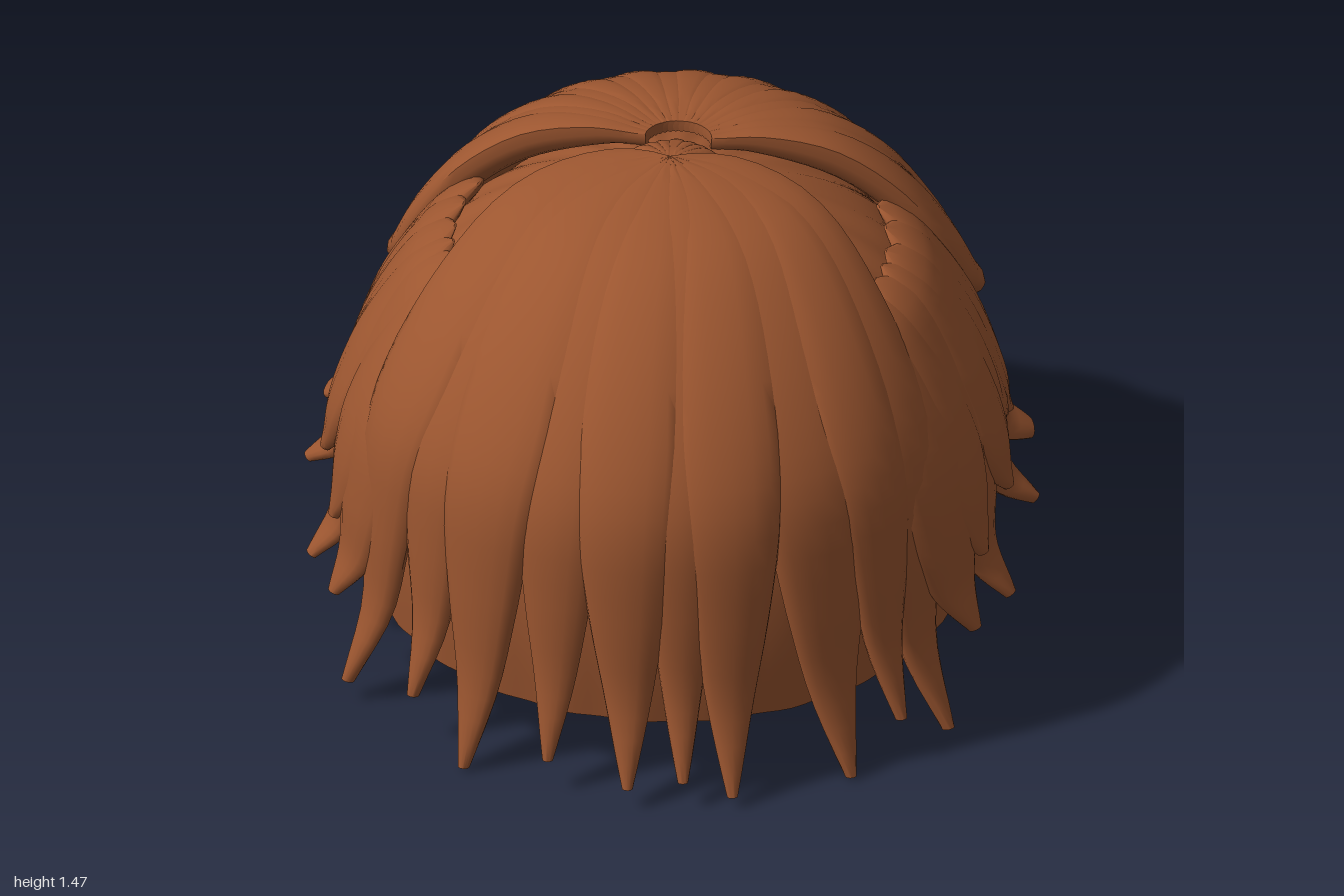
import * as THREE from 'three';
import { toCreasedNormals } from 'three/addons/utils/BufferGeometryUtils.js';

const rad = THREE.MathUtils.degToRad;
const { lerp, smoothstep } = THREE.MathUtils;
const hair = new THREE.MeshStandardMaterial({ color: 0x9c5630 });
hair.name = 'chestnut hair';

// A profile is a curve of (radius, height) running from the crown downwards
const profile = pts => new THREE.CatmullRomCurve3(pts.map(([r, y]) => new THREE.Vector3(r, y, 0)));

function build(name, pos, idx) {
  const g = new THREE.BufferGeometry();
  g.setAttribute('position', new THREE.Float32BufferAttribute(pos, 3));
  g.setIndex(idx);
  const mesh = new THREE.Mesh(toCreasedNormals(g, 0.9), hair);
  mesh.name = name;
  return mesh;
}

// A tapering lock lying on a dome: azimuth is measured from +z towards +x.
// fan widens its azimuth towards the crown; flat pressed section there turns round lower down.
function lock(name, o) {
  const { path, a0, a1 = a0, half, thick = 0.045, under = 0.04, cz = 0, sx = 1,
    taper = 0.5, tip = 0.015, roundTop = false, lift = 0, fan = 0 } = o;
  const curve = profile(path), N = 28, M = 16, pos = [], idx = [];
  for (let i = 0; i <= N; i++) {
    const t = i / N, p = curve.getPoint(t), d = curve.getTangent(t);
    const u = Math.max(0, (t - taper) / (1 - taper));
    const open = roundTop ? Math.sqrt(Math.min(1, t / 0.12 + 0.01)) : 1;
    const spread = 1 + fan * Math.max(0, 1 - t / 0.65) ** 2.7;
    const w = lerp(rad(half), tip, Math.pow(u, 1.3)) * open * spread;
    const grow = (roundTop ? open : 0.45 + 0.55 * smoothstep(t, 0, 0.3)) * lerp(1, 0.4, u * u);
    const a = lerp(rad(a0), rad(a1), t * t) * spread;
    const round = roundTop ? 0.7 : lerp(0.2, 0.9, smoothstep(t, 0.2, 0.75));
    for (let j = 0; j < M; j++) {
      const f = j / M * Math.PI * 2, s = Math.cos(f), k = Math.sin(f);
      const n = lift * smoothstep(t, 0.1, 0.5) + grow * (k > 0 ? thick * Math.pow(k, round) : under * k);
      const r = p.x - d.y * n, y = p.y + d.x * n, b = a + s * w;
      pos.push(Math.sin(b) * r * sx, y, Math.cos(b) * r + cz);
    }
  }
  for (let i = 0; i < N; i++) for (let j = 0; j < M; j++) {
    const k = (j + 1) % M, A = i * M + j, B = i * M + k;
    idx.push(A, B, A + M, B, B + M, A + M);
  }
  for (let j = 1; j < M - 1; j++) {
    idx.push(0, j + 1, j, N * M, N * M + j, N * M + j + 1);
  }
  return build(name, pos, idx);
}

// Inner shell with a face opening towards -z
function cap() {
  const c = profile([[0, 1.38], [0.2, 1.365], [0.42, 1.28], [0.62, 1.13], [0.75, 0.92], [0.81, 0.68], [0.82, 0.42], [0.79, 0.12]]);
  const U = 144, V = 28, pos = [], idx = [];
  for (let j = 0; j <= U; j++) {
    const a = j / U * Math.PI * 2, deg = 180 - Math.abs(180 - j / U * 360);
    const hem = 0.18 + 0.87 * smoothstep(deg, 70, 138);
    let lo = 0, hi = 1;
    for (let n = 0; n < 24; n++) {
      const m = (lo + hi) / 2;
      if (c.getPoint(m).y > hem) lo = m; else hi = m;
    }
    for (let i = 0; i <= 2 * V + 1; i++) {
      const outer = i <= V, t = lo * (outer ? i : 2 * V + 1 - i) / V;
      const p = c.getPoint(t), d = c.getTangent(t);
      // Fine combed ripples on the outside only
      const n = outer ? 0.004 * Math.cos(a * 24) * smoothstep(t, 0.05, 0.3) : -0.035;
      const r = Math.max(0, p.x - d.y * n);
      pos.push(Math.sin(a) * r, p.y + d.x * n, Math.cos(a) * r);
    }
  }
  const R = 2 * V + 2;
  for (let j = 0; j < U; j++) for (let i = 0; i < R - 1; i++) {
    const A = j * R + i, B = A + R;
    idx.push(A, A + 1, B, B, A + 1, B + 1);
  }
  return build('innerCap', pos, idx);
}

export function createModel() {
  const model = new THREE.Group();
  model.name = 'hair';
  model.add(cap());
  const part = name => {
    const g = new THREE.Group();
    g.name = name;
    model.add(g);
    return g;
  };

  // Long panel: [base azimuth, tip azimuth, tip height, half width, tip radius]
  const longLocks = part('longPanel');
  [[-53, -58, 0.06, 12, 0.95], [-42, -42, 0.15, 11, 0.93], [-29, -30, 0.01, 12, 0.93], [-15, -15, 0.1, 10, 0.92],
    [-3, -1, 0.06, 11, 0.94], [8, 8, 0.08, 9, 0.94], [18, 16, 0.03, 11, 0.94], [33, 37, 0.01, 13, 0.94],
    [45, 47, 0.13, 10, 0.93], [53, 57, 0.03, 12, 0.96]]
    .forEach(([a0, a1, y, half, r], i) => longLocks.add(lock('longLock', {
      a0, a1, half, under: 0.05, lift: i % 2 ? 0 : 0.014, fan: 1.05,
      path: [[0, 1.455], [0.2, 1.425], [0.4, 1.355], [0.58, 1.22], [0.735, 1.03], [0.83, 0.83],
        [0.855, lerp(0.83, y, 0.36)], [0.87, lerp(0.83, y, 0.7)], [r, y]],
    })));

  // Side locks with rounded tops, mirrored
  const sides = part('sideLocks');
  for (const m of [-1, 1]) {
    [[62, 65, 0.27, 12, 0.94], [77, 76, 0.28, 12, 0.97], [69, 71, 0.45, 9, 0.91], [91, 93, 0.4, 13, 0.98],
      [84, 85, 0.52, 9, 0.91], [102, 106, 0.48, 12, 0.98], [112, 109, 0.5, 11, 0.92]]
      .forEach(([a0, a1, y, half, r], i) => sides.add(lock('sideLock', {
        a0: m * a0, a1: m * a1, half, roundTop: true, under: 0.03,
        taper: i > 4 ? 0.62 : 0.5, tip: i > 4 ? 0.05 : 0.02, lift: i % 2 ? 0 : 0.014,
        path: [[0.58, 1.2], [0.69, 1.07], [0.78, 0.91], [0.835, 0.76], [0.865, lerp(0.76, y, 0.4)],
          [0.885, lerp(0.76, y, 0.75)], [r, y]],
      })));
  }

  // Fringe over the face opening
  const fringe = part('fringe');
  const tips = [0.55, 0.7, 0.46, 0.69, 0.54, 0.66, 0.51, 0.6, 0.8];
  for (let i = -8; i <= 8; i++) {
    const y = tips[Math.abs(i)], edge = Math.abs(i) === 8;
    fringe.add(lock('fringeLock', {
      a0: 180 + i * 9.4, a1: 180 + i * (edge ? 8.9 : 9.4), half: edge ? 9 : 7.5,
      cz: -0.21, sx: 1.12, thick: 0.04, under: edge ? 0.06 : 0.035,
      taper: edge ? 0.5 : 0.6, lift: i % 2 ? 0 : 0.01,
      path: [[0.08, 1.375], [0.2, 1.37], [0.37, 1.31], [0.52, 1.18], [0.63, 1.01], [0.69, 0.88],
        [0.715, lerp(0.88, y, 0.5)], [0.695, y]],
    }));
  }

  // Small fan of strands at the crown
  const crown = part('crownTuft');
  for (let i = -3; i <= 3; i++) {
    crown.add(lock('crownStrand', {
      a0: 180 + i * 13, half: 10, thick: 0.012, under: 0.07, taper: 0.7, tip: 0.08,
      path: [[0, 1.455], [0.07, 1.44], [0.14, 1.415], [0.2 - Math.abs(i) * 0.01, 1.39]],
    }));
  }
  return model;
}
